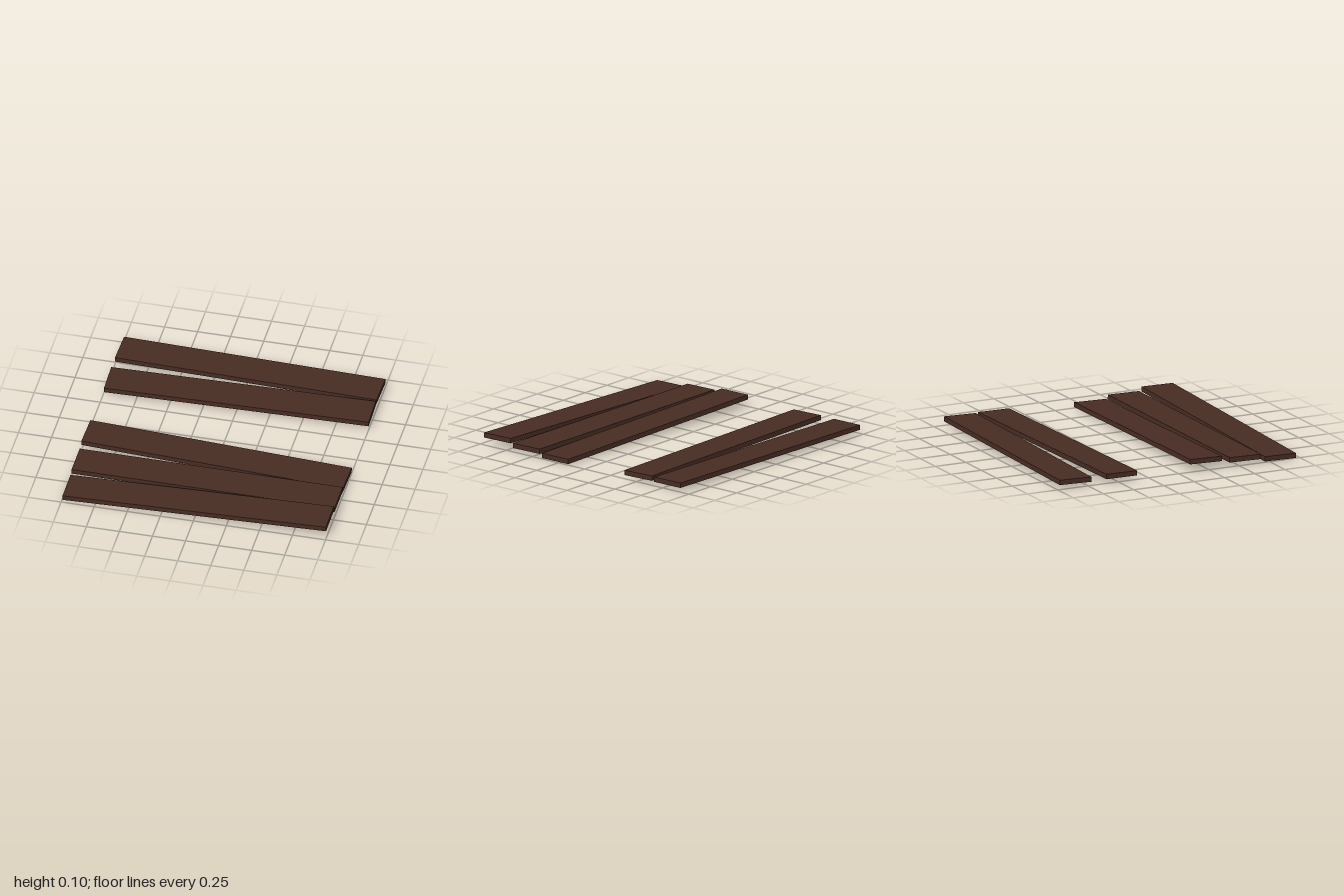
import * as THREE from 'three';

// Thin plank shell: a box without its underside
function plankGeometry(length, thickness, width) {
  const geometry = new THREE.BoxGeometry(length, thickness, width);
  const index = Array.from(geometry.index.array);
  index.splice(18, 6); // drop the bottom face
  geometry.setIndex(index);
  geometry.clearGroups();
  return geometry;
}

export function createModel() {
  const group = new THREE.Group();
  group.name = 'loosePlanks';

  const darkWood = new THREE.MeshStandardMaterial({ color: 0x472c23, side: THREE.DoubleSide });
  darkWood.name = 'darkWood';

  const geometry = plankGeometry(1.992, 0.037, 0.257);

  // Loose boards from back to front: depth, turn about y, tilt along the length
  const boards = [
    { z: -0.82, turn: -0.03, tilt: 0 },
    { z: -0.49, turn: 0.0215, tilt: 0 },
    { z: 0.257, turn: -0.0295, tilt: -0.025 },
    { z: 0.557, turn: -0.0055, tilt: 0 },
    { z: 0.842, turn: 0.001, tilt: 0.028 },
  ];
  boards.forEach(({ z, turn, tilt }, i) => {
    const plank = new THREE.Mesh(geometry, darkWood);
    plank.name = `plank${i + 1}`;
    plank.position.set(0, 0.05, z);
    plank.rotation.set(0.016, turn, tilt, 'YZX'); // slight roll on every board
    group.add(plank);
  });

  return group;
}
